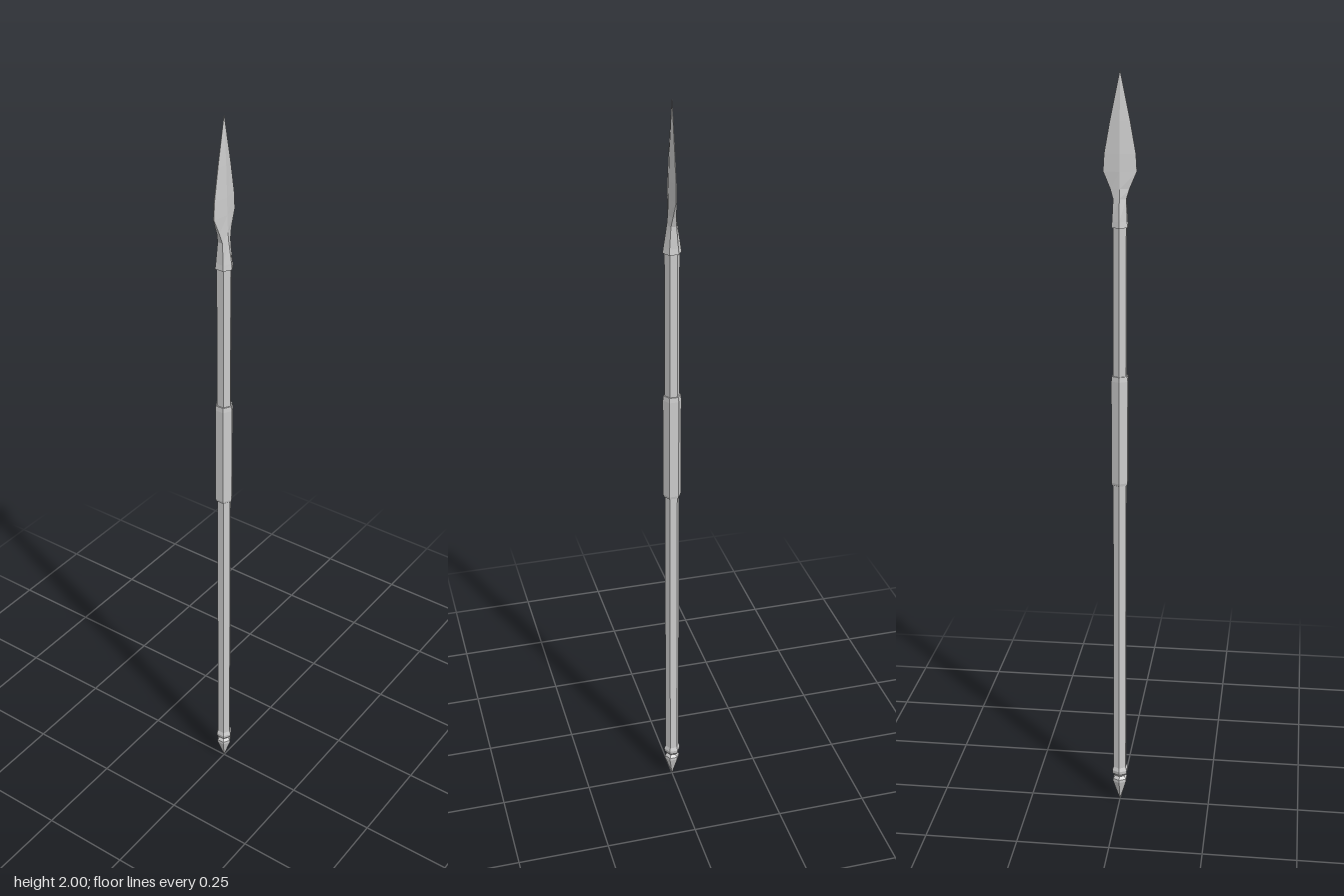
import * as THREE from 'three';

const material = new THREE.MeshStandardMaterial({ color: 0xcccccc, flatShading: true });

// Six-sided turned part from [radius, y] points, corners on the x axis
function turned(name, profile) {
  const points = profile.map(([r, y]) => new THREE.Vector2(r, y));
  const mesh = new THREE.Mesh(new THREE.LatheGeometry(points, 6, Math.PI / 6), material);
  mesh.name = name;
  return mesh;
}

// Spearhead lofted through six-sided sections: [y, ridge x, edge x, edge z]
function spearhead() {
  const sections = [
    [1.62, 0.018, 0.009, 0.015],
    [1.62, 0.024, 0.012, 0.0205],
    [1.635, 0.022, 0.011, 0.019],
    [1.69, 0.0135, 0.007, 0.0165],
    [1.715, 0.011, 0.004, 0.024],
    [1.757, 0.0095, 0.0012, 0.042],
    [1.80, 0.0085, 0.001, 0.0395],
    [1.88, 0.006, 0.0008, 0.025],
    [2.0, 0, 0, 0],
  ];
  const rings = sections.map(([y, rx, ex, ez]) => [
    [ex, y, ez], [rx, y, 0], [ex, y, -ez], [-ex, y, -ez], [-rx, y, 0], [-ex, y, ez],
  ]);
  const positions = [];
  for (let i = 0; i < rings.length - 1; i++) {
    for (let j = 0; j < 6; j++) {
      const k = (j + 1) % 6;
      const a = rings[i][j], b = rings[i][k], c = rings[i + 1][k], d = rings[i + 1][j];
      positions.push(...a, ...b, ...c);
      if (i < rings.length - 2) positions.push(...a, ...c, ...d);
    }
  }
  const geometry = new THREE.BufferGeometry();
  geometry.setAttribute('position', new THREE.Float32BufferAttribute(positions, 3));
  geometry.computeVertexNormals();
  const mesh = new THREE.Mesh(geometry, material);
  mesh.name = 'spearhead';
  return mesh;
}

export function createModel() {
  const group = new THREE.Group();
  group.name = 'spear';

  group.add(
    turned('shaft', [[0, 0.09], [0.0195, 0.09], [0.0195, 1.63], [0, 1.63]]),
    // Thicker wrapped section around the middle
    turned('grip', [[0.018, 0.943], [0.023, 0.943], [0.0245, 0.95], [0.0245, 1.225], [0.023, 1.238], [0.018, 1.238]]),
    // Collar, neck and pointed spike at the foot
    turned('buttSpike', [
      [0, 0], [0.021, 0.062], [0.021, 0.07], [0.014, 0.078],
      [0.022, 0.087], [0.0235, 0.097], [0.0195, 0.107], [0.017, 0.107],
    ]),
    spearhead(),
  );
  return group;
}
